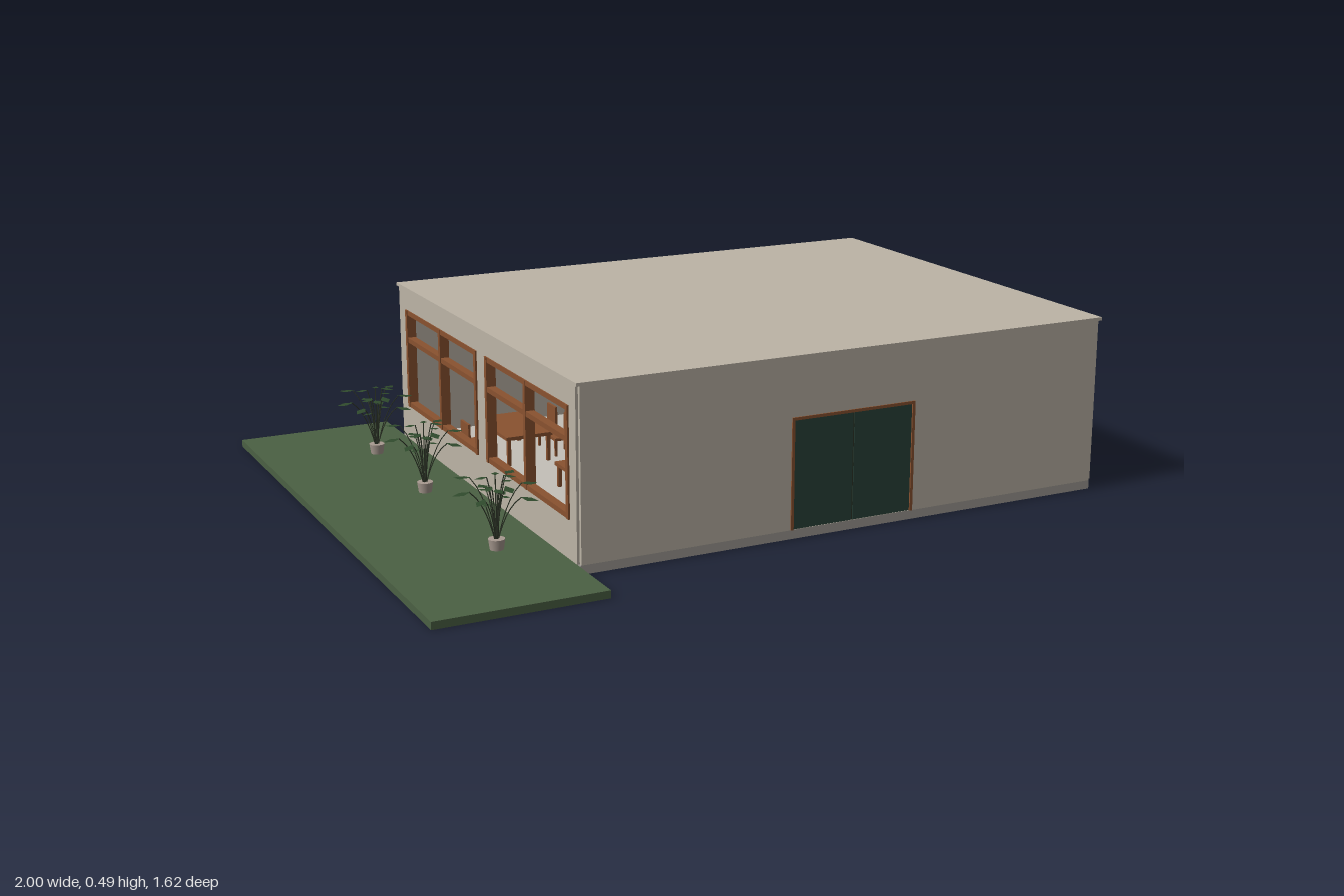
import * as THREE from 'three';

const mat = (name, color, extra = {}) => {
  const m = new THREE.MeshStandardMaterial({ color, ...extra });
  m.name = name;
  return m;
};

export function createModel() {
  const M = {
    wall: mat('warm plaster', 0xbcb4a6),
    base: mat('foundation grey', 0xa19c97),
    lawn: mat('lawn green', 0x4b6043),
    door: mat('dark green door', 0x2a443a),
    wood: mat('brown wood', 0x8a5230),
    floor: mat('pale floor', 0xc4c0b8),
    fabric: mat('light fabric', 0xb4b1aa),
    leaf: mat('leaf green', 0x2f4a2c, { side: THREE.DoubleSide }),
    pot: mat('pot clay', 0xa89a90),
    stem: mat('dark stem', 0x2c3326),
  };
  const root = new THREE.Group();
  root.name = 'pavilion';

  const add = (parent, name, geo, material, x = 0, y = 0, z = 0) => {
    const m = new THREE.Mesh(geo, material);
    m.name = name;
    m.position.set(x, y, z);
    parent.add(m);
    return m;
  };
  // Box given by its min and max on each axis
  const box = (parent, name, material, x0, x1, y0, y1, z0, z1) =>
    add(parent, name, new THREE.BoxGeometry(x1 - x0, y1 - y0, z1 - z0), material,
      (x0 + x1) / 2, (y0 + y1) / 2, (z0 + z1) / 2);
  const group = (name, parent = root, x = 0, y = 0, z = 0) => {
    const g = new THREE.Group();
    g.name = name;
    g.position.set(x, y, z);
    parent.add(g);
    return g;
  };
  // Upright panel with rectangular holes [u0, u1, y0, y1]
  const panel = (u0, u1, y0, y1, depth, holes) => {
    const rect = (P, a, b, c, d) =>
      new P([[a, c], [b, c], [b, d], [a, d]].map((p) => new THREE.Vector2(...p)));
    const s = rect(THREE.Shape, u0, u1, y0, y1);
    for (const h of holes) s.holes.push(rect(THREE.Path, ...h));
    return new THREE.ExtrudeGeometry(s, { depth, bevelEnabled: false });
  };

  // Ground and foundation
  box(root, 'lawn', M.lawn, -1, -0.55, 0, 0.02, -0.81, 0.81);
  box(root, 'foundation', M.base, -0.55, 0.99, 0, 0.024, -0.635, 0.635);
  box(root, 'interiorFloor', M.floor, -0.53, 0.965, 0.024, 0.03, -0.61, 0.61);

  // Walls, with narrow notches at the corners
  const H0 = 0.026, H1 = 0.478;
  const doorHole = [0.04, 0.4, 0.026, 0.326];
  const windows = [[-0.57, -0.015, 0.13, 0.42], [0.05, 0.59, 0.13, 0.42]];
  add(root, 'frontWall', panel(-0.55, 0.985, H0, H1, 0.025, [[0.04, 0.4, 0.027, 0.326]]), M.wall, 0, 0, 0.615);
  box(root, 'backWall', M.wall, -0.55, 0.985, H0, H1, -0.64, -0.615);
  box(root, 'leftWall', M.wall, 0.97, 0.996, H0, H1, -0.63, 0.63);
  add(root, 'windowWall', panel(-0.63, 0.63, H0, H1, 0.026, windows).rotateY(-Math.PI / 2), M.wall, -0.531);
  box(root, 'roof', M.wall, -0.56, 0.998, H1, 0.487, -0.642, 0.642);

  // Double front door
  const door = group('frontDoor');
  const [dx0, dx1, dy0, dy1] = doorHole;
  const dm = (dx0 + dx1) / 2;
  box(door, 'doorLeafRight', M.door, dx0, dm - 0.002, dy0, dy1 - 0.007, 0.622, 0.639);
  box(door, 'doorLeafLeft', M.door, dm + 0.002, dx1, dy0, dy1 - 0.007, 0.622, 0.639);
  box(door, 'doorMeeting', M.stem, dm - 0.002, dm + 0.002, dy0, dy1, 0.622, 0.637);
  box(door, 'doorHead', M.wood, dx0 - 0.004, dx1 + 0.004, dy1 - 0.008, dy1, 0.62, 0.643);
  for (const x of [dx0, dx1]) box(door, 'doorJamb', M.wood, x - 0.004, x + 0.004, dy0, dy1, 0.62, 0.643);

  // Timber windows, each with a mullion and a transom
  for (const [z0, z1, y0, y1] of windows) {
    const w = group('window');
    const t = 0.014, zm = (z0 + z1) / 2;
    for (const z of [z0, zm - t / 2, z1 - t]) box(w, 'windowUpright', M.wood, -0.562, -0.535, y0, y1, z, z + t);
    for (const y of [y0, 0.325, y1 - t]) box(w, 'windowRail', M.wood, -0.56, -0.537, y, y + t, z0, z1);
  }

  // Furniture behind the windows
  const sofa = group('sofa', root, -0.3, 0.03, 0.4);
  box(sofa, 'sofaSeat', M.fabric, -0.06, 0.06, 0, 0.05, -0.14, 0.14);
  box(sofa, 'sofaBack', M.fabric, 0.04, 0.075, 0, 0.11, -0.14, 0.14);
  for (const z of [-0.14, 0.14]) box(sofa, 'sofaArm', M.fabric, -0.06, 0.07, 0, 0.075, z - 0.015, z + 0.015);

  const table = (x, z, w, d, h) => {
    const g = group('table', root, x, 0.03, z);
    box(g, 'tableTop', M.wood, -w, w, h - 0.01, h, -d, d);
    for (const sx of [-1, 1]) for (const sz of [-1, 1])
      add(g, 'tableLeg', new THREE.BoxGeometry(0.01, h - 0.01, 0.01), M.wood, sx * (w - 0.01), (h - 0.01) / 2, sz * (d - 0.01));
  };
  const chair = (x, z, turn) => {
    const g = group('chair', root, x, 0.03, z);
    g.rotation.y = turn;
    box(g, 'chairSeat', M.wood, -0.03, 0.03, 0.045, 0.053, -0.03, 0.03);
    box(g, 'chairBack', M.wood, -0.03, 0.03, 0.053, 0.11, -0.03, -0.023);
    for (const sx of [-1, 1]) for (const sz of [-1, 1])
      add(g, 'chairLeg', new THREE.BoxGeometry(0.007, 0.046, 0.007), M.wood, sx * 0.026, 0.023, sz * 0.026);
  };
  table(-0.3, 0.12, 0.06, 0.08, 0.07);
  table(-0.34, -0.3, 0.07, 0.12, 0.085);
  chair(-0.22, -0.36, -Math.PI / 2);
  chair(-0.22, -0.24, -Math.PI / 2);
  chair(-0.46, -0.3, Math.PI / 2);
  chair(-0.2, 0.12, -Math.PI / 2);

  // Diamond leaf pointing along +x, slightly folded down at its edges
  const leafGeo = new THREE.BufferGeometry();
  leafGeo.setAttribute('position', new THREE.Float32BufferAttribute(
    [-0.5, 0, 0, 0, -0.06, 0.28, 0.5, -0.1, 0, 0, -0.06, -0.28], 3));
  leafGeo.setIndex([0, 1, 2, 0, 2, 3]);
  leafGeo.computeVertexNormals();

  // Potted shrub: a ring of long arching stems and a tighter inner ring
  const potGeo = new THREE.CylinderGeometry(0.022, 0.018, 0.028, 12);
  const shrub = (z) => {
    const g = group('shrub', root, -0.685, 0.02, z);
    add(g, 'pot', potGeo, M.pot, 0, 0.016, 0);
    const ring = (count, radius, height, size, offset) => {
      for (let i = 0; i < count; i++) {
        const arm = group('branch', g);
        arm.rotation.y = offset + (i / count) * Math.PI * 2;
        const h = height + 0.022 * Math.sin(i * 2.4);
        const path = new THREE.QuadraticBezierCurve3(
          new THREE.Vector3(0.004, 0.025, 0), new THREE.Vector3(radius * 0.4, h * 0.8, 0),
          new THREE.Vector3(radius, h, 0));
        add(arm, 'stem', new THREE.TubeGeometry(path, 6, 0.0014, 4), M.stem);
        const l = add(arm, 'leaf', leafGeo, M.leaf, radius + size * 0.4, h, 0);
        l.scale.setScalar(size);
      }
    };
    ring(8, 0.07, 0.165, 0.05, 0);
    ring(7, 0.022, 0.175, 0.036, 0.3);
    ring(5, 0.012, 0.145, 0.03, 0.7);
  };
  [-0.5, -0.095, 0.425].forEach(shrub);

  return root;
}
